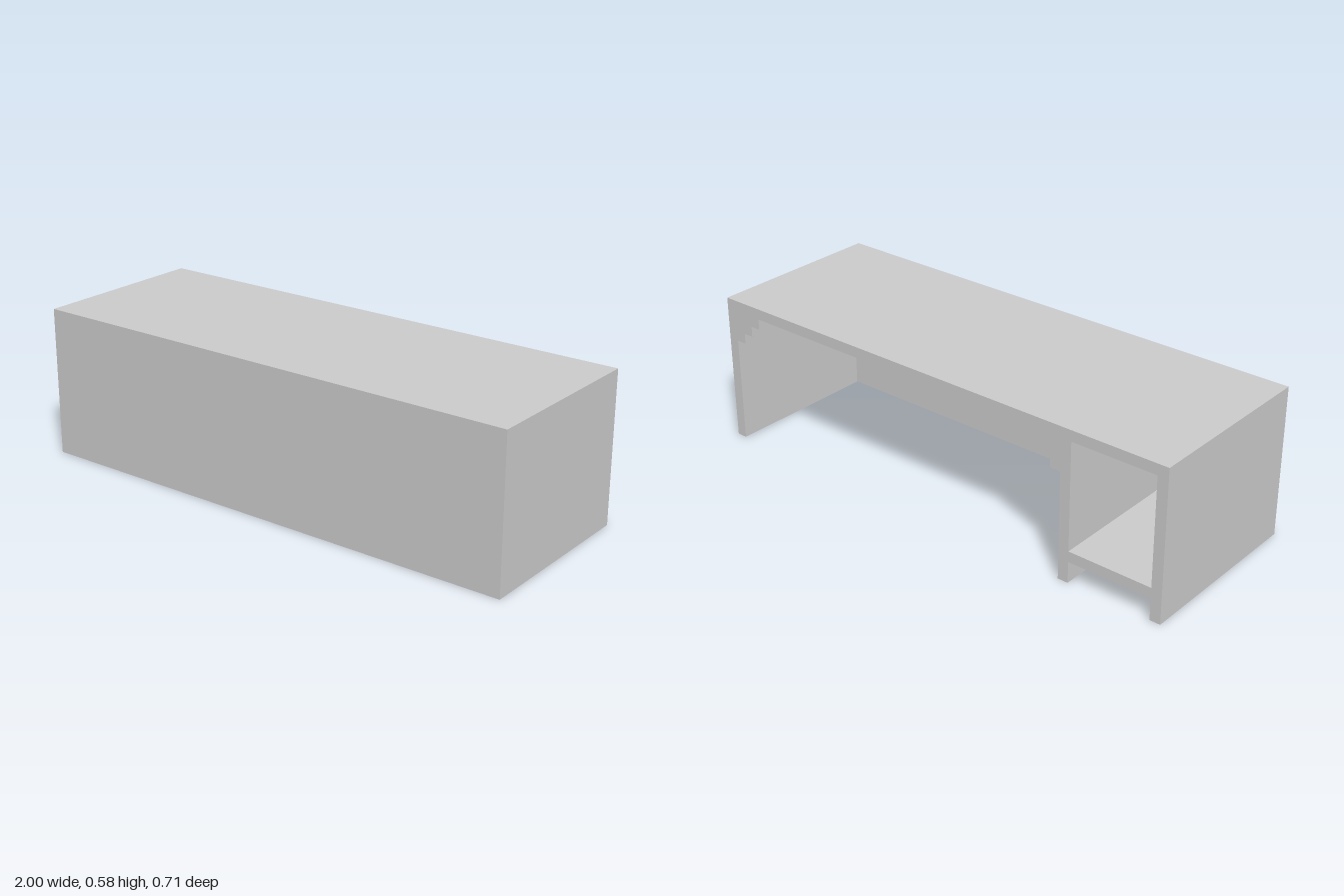
import * as THREE from 'three';

const U = 2 / 48; // the desk is laid out on a grid, 48 units wide

export function createModel() {
  const desk = new THREE.Group();
  desk.name = 'desk';
  const material = new THREE.MeshStandardMaterial({ color: 0xcccccc, flatShading: true });

  const add = (name, geometry) => {
    geometry.scale(U, U, U);
    const mesh = new THREE.Mesh(geometry, material);
    mesh.name = name;
    desk.add(mesh);
  };

  // Box given by its lower and upper corners in grid units
  const addBox = (name, [x0, y0, z0], [x1, y1, z1]) => {
    const g = new THREE.BoxGeometry(x1 - x0, y1 - y0, z1 - z0);
    g.translate((x0 + x1) / 2, (y0 + y1) / 2, (z0 + z1) / 2);
    add(name, g);
  };

  const points = (list) => list.map(([x, y]) => new THREE.Vector2(x, y));

  // Top, side walls, stepped brackets and pedestal in one section
  const section = new THREE.Shape(points([
    [-24, 0], [-23, 0], [-23, 2], [-15, 2], [-15, 0], [-14, 0],
    [-14, 10], [-13, 10], [-13, 11], [-12, 11], [-12, 12], [-11, 12], [-11, 13],
    [20, 13], [20, 12], [21, 12], [21, 11], [22, 11], [22, 10], [23, 10],
    [23, 0], [24, 0], [24, 14], [-24, 14],
  ]));

  // Open compartment above the pedestal shelf
  section.holes.push(new THREE.Path(points([[-23, 3], [-23, 13], [-15, 13], [-15, 3]])));
  const body = new THREE.ExtrudeGeometry(section, { depth: 15, bevelEnabled: false });
  body.translate(0, 0, -8.5);
  add('deskBody', body);

  // Closed front
  addBox('frontPanel', [-24, 0, 6.5], [24, 14, 8.5]);

  // Steps under the top along the front panel, meeting the side brackets
  for (let i = 0; i < 3; i++) {
    addBox('frontStep', [-11 - i, 12 - i, 3.5 + i], [20 + i, 13 - i, 6.5]);
  }

  // Small block under the shelf in the front corner
  addBox('cornerBlock', [-23, 1, 5.5], [-22, 2, 6.5]);

  return desk;
}
